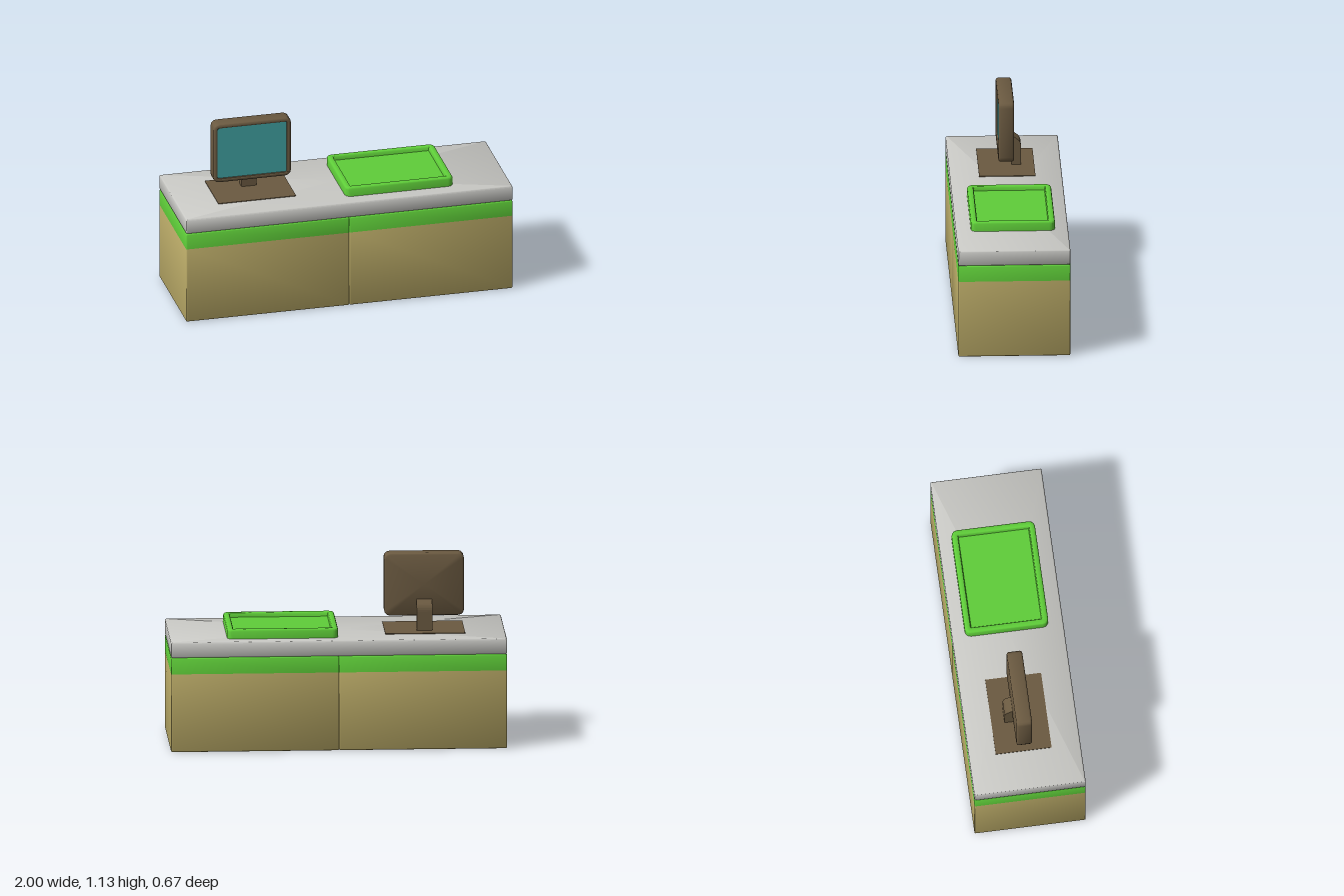
import * as THREE from 'three';
import { toCreasedNormals } from 'three/addons/utils/BufferGeometryUtils.js';

const mat = (name, color) => new THREE.MeshStandardMaterial({ name, color });

// Outline of a rounded rectangle in x/z
function outline(w, d, r, seg, y) {
  const pts = [];
  [[1, 1], [-1, 1], [-1, -1], [1, -1]].forEach(([sx, sz], q) => {
    for (let i = 0; i <= seg; i++) {
      const a = (q + i / seg) * Math.PI / 2;
      pts.push([sx * (w / 2 - r) + r * Math.cos(a), y, sz * (d / 2 - r) + r * Math.sin(a)]);
    }
  });
  return pts;
}

// Stack rounded rectangles given as [height, inset]; optionally close the ends
function loft(w, d, r, levels, capBottom = true, capTop = true, seg = 3) {
  const loops = levels.map(([y, k]) => outline(w - 2 * k, d - 2 * k, Math.max(r - k, 0.003), seg, y));
  const pos = [];
  const tri = (...p) => p.forEach((v) => pos.push(...v));
  const n = loops[0].length;
  const last = loops.length - 1;
  for (let i = 0; i < n; i++) {
    const j = (i + 1) % n;
    for (let l = 0; l < last; l++) {
      const a = loops[l][i], b = loops[l][j], c = loops[l + 1][j], e = loops[l + 1][i];
      tri(a, e, c);
      tri(a, c, b);
    }
    if (capBottom) tri([0, levels[0][0], 0], loops[0][i], loops[0][j]);
    if (capTop) tri([0, levels[last][0], 0], loops[last][j], loops[last][i]);
  }
  const g = new THREE.BufferGeometry();
  g.setAttribute('position', new THREE.Float32BufferAttribute(pos, 3));
  g.computeVertexNormals();
  return toCreasedNormals(g, 0.65);
}

export function createModel() {
  const model = new THREE.Group();
  model.name = 'checkoutCounter';
  const tan = mat('tan', 0xc9b870);
  const green = mat('green', 0x5fce39);
  const grey = mat('lightGrey', 0xc8c8c4);
  const brown = mat('brown', 0x6b5a41);
  const teal = mat('teal', 0x42a5a5);

  const add = (parent, name, geometry, material, x = 0, y = 0, z = 0) => {
    const m = new THREE.Mesh(geometry, material);
    m.name = name;
    m.position.set(x, y, z);
    parent.add(m);
    return m;
  };

  // Two cabinets, each with a green band at the top
  for (const [side, x] of [['right', -0.5], ['left', 0.5]]) {
    const cabinet = new THREE.Group();
    cabinet.name = side + 'Cabinet';
    cabinet.position.x = x;
    add(cabinet, 'cabinetBody',
      loft(1, 0.667, 0.008, [[0, 0.008], [0.003, 0.003], [0.008, 0], [0.475, 0]], true, false), tan);
    add(cabinet, 'cabinetBand',
      loft(1, 0.667, 0.008, [[0.475, 0], [0.566, 0], [0.571, 0.003], [0.574, 0.008]], false, true), green);
    model.add(cabinet);
  }

  // Worktop slab
  add(model, 'worktop', loft(2, 0.667, 0.008,
    [[0.574, 0.008], [0.577, 0.003], [0.582, 0], [0.66, 0], [0.665, 0.003], [0.668, 0.008]]), grey);

  // Tray with a raised rim and a sunken floor
  add(model, 'tray', loft(0.66, 0.5, 0.035, [[0.668, 0], [0.713, 0], [0.721, 0.004], [0.725, 0.012],
    [0.725, 0.028], [0.722, 0.034], [0.714, 0.038], [0.698, 0.04]]), green, 0.33, 0, -0.005);

  // Monitor on a neck and a thin base plate
  const monitor = new THREE.Group();
  monitor.name = 'monitor';
  monitor.position.x = -0.522;
  model.add(monitor);
  add(monitor, 'basePlate', new THREE.BoxGeometry(0.476, 0.005, 0.335), brown, 0, 0.6695, -0.007);

  const profile = new THREE.Shape();
  profile.moveTo(0.04, 0.668);
  profile.lineTo(0.096, 0.668);
  profile.lineTo(0.096, 0.785);
  profile.quadraticCurveTo(0.096, 0.815, 0.078, 0.83);
  profile.lineTo(0.048, 0.852);
  profile.lineTo(0.04, 0.852);
  const neck = new THREE.ExtrudeGeometry(profile, { depth: 0.093, bevelEnabled: false, curveSegments: 5 });
  neck.rotateY(Math.PI / 2);
  add(monitor, 'neck', neck, brown, -0.0465);

  const shell = loft(0.476, 0.38, 0.035, [[-0.048, 0.012], [-0.044, 0.004], [-0.036, 0], [0.033, 0],
    [0.041, 0.004], [0.045, 0.012], [0.045, 0.021], [0.042, 0.025], [0.034, 0.027]], true, false);
  shell.rotateX(Math.PI / 2);
  add(monitor, 'monitorShell', shell, brown, 0, 0.941, 0);

  const screen = loft(0.424, 0.328, 0.012, [[0.03, 0], [0.034, 0]]);
  screen.rotateX(Math.PI / 2);
  add(monitor, 'screen', screen, teal, 0, 0.941, 0);

  return model;
}
